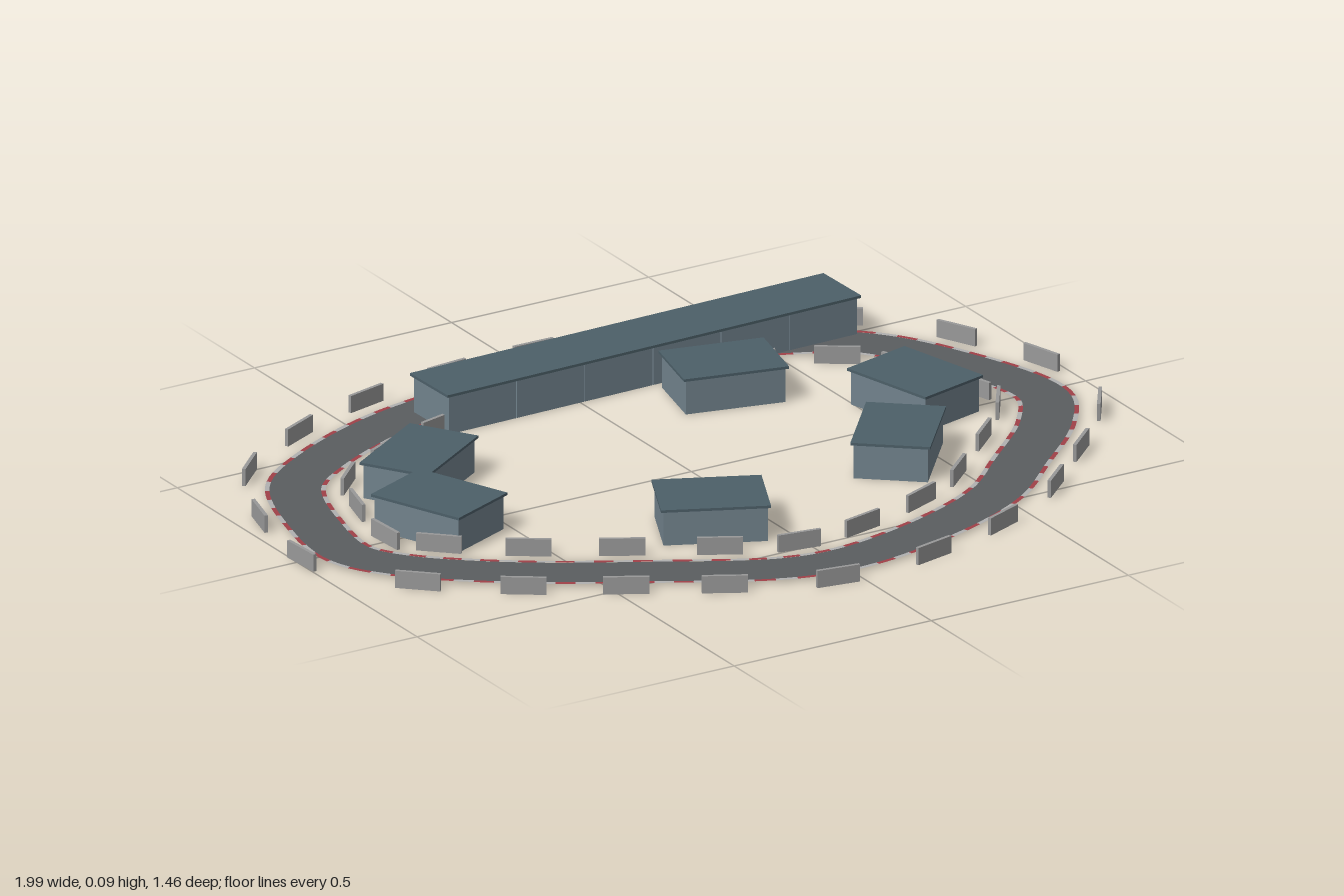
import * as THREE from 'three';
import { mergeGeometries } from 'three/addons/utils/BufferGeometryUtils.js';

const mat = (color, side = THREE.FrontSide) => new THREE.MeshStandardMaterial({ color, side });
const asphalt = mat(0x5a5d60, THREE.DoubleSide);
const kerbRed = mat(0xa04048, THREE.DoubleSide);
const kerbWhite = mat(0xb0b0b0, THREE.DoubleSide);
const wallMat = mat(0x71828c);
const roofMat = mat(0x4c5f68);
const barrierMat = mat(0x999999);

// Centre line of the circuit, as [x, z], clockwise seen from above
const loop = [
  [-0.885, 0.03], [-0.86, -0.16], [-0.785, -0.36], [-0.66, -0.46], [-0.43, -0.565], [-0.2, -0.61],
  [0.03, -0.62], [0.19, -0.61], [0.38, -0.57], [0.55, -0.51], [0.69, -0.43], [0.8, -0.25],
  [0.875, 0.02], [0.8, 0.165], [0.635, 0.33], [0.485, 0.465], [0.26, 0.565], [0.03, 0.612],
  [-0.12, 0.59], [-0.39, 0.45], [-0.64, 0.3], [-0.825, 0.14],
];
const toCurve = (pts, closed) =>
  new THREE.CatmullRomCurve3(pts.map(([x, z]) => new THREE.Vector3(x, 0, z)), closed, 'centripetal');
const circuit = toCurve(loop, true);
circuit.arcLengthDivisions = 1000;

// Point at a distance to the left of a curve
function offsetPoint(curve, u, d, y) {
  const p = curve.getPointAt(u), t = curve.getTangentAt(u);
  return new THREE.Vector3(p.x + t.z * d, y, p.z - t.x * d);
}

// Flat strip between two offsets of a curve
function ribbon(curve, u0, u1, left, right, y, steps) {
  const pos = [], nor = [], uv = [], idx = [];
  for (let i = 0; i <= steps; i++) {
    const u = u0 + (u1 - u0) * i / steps;
    for (const d of [left, right]) {
      pos.push(...offsetPoint(curve, u, d, y).toArray());
      nor.push(0, 1, 0);
      uv.push(d === left ? 0 : 1, u);
    }
    if (i < steps) {
      const a = i * 2;
      idx.push(a, a + 1, a + 2, a + 1, a + 3, a + 2);
    }
  }
  const g = new THREE.BufferGeometry();
  g.setAttribute('position', new THREE.Float32BufferAttribute(pos, 3));
  g.setAttribute('normal', new THREE.Float32BufferAttribute(nor, 3));
  g.setAttribute('uv', new THREE.Float32BufferAttribute(uv, 2));
  g.setIndex(idx);
  return g;
}

function add(parent, name, geometry, material, x = 0, y = 0, z = 0) {
  const m = new THREE.Mesh(geometry, material);
  m.name = name;
  m.position.set(x, y, z);
  parent.add(m);
  return m;
}

// Rectangular building of adjoining bays under a thin overhanging roof
function building(name, x, z, turn, width, depth, height, bays = 1) {
  const g = new THREE.Group();
  g.name = name;
  g.position.set(x, 0, z);
  g.rotation.y = turn;
  const roof = 0.006, inner = width - 0.012, bay = inner / bays;
  for (let i = 0; i < bays; i++) {
    const w = bays > 1 ? bay - 0.002 : bay;
    add(g, 'walls', new THREE.BoxGeometry(w, height - roof, depth - 0.012), wallMat,
      -inner / 2 + (i + 0.5) * bay, (height - roof) / 2, 0);
  }
  add(g, 'roof', new THREE.BoxGeometry(width, roof, depth), roofMat, 0, height - roof / 2, 0);
  return g;
}

export function createModel() {
  const model = new THREE.Group();
  model.name = 'raceCircuit';

  // Road surface and the short pit lane beside the straight
  add(model, 'track', ribbon(circuit, 0, 1, 0.06, -0.06, 0.004, 240), asphalt);
  const pit = toCurve([[-0.1, -0.625], [0.04, -0.645], [0.17, -0.66], [0.28, -0.655], [0.355, -0.61], [0.46, -0.55]], false);
  add(model, 'pitLane', ribbon(pit, 0, 1, 0.035, -0.035, 0.003, 32), asphalt);

  // Kerbs alternating red and white along both edges
  const kerbs = [[], []], count = 110;
  for (let i = 0; i < count; i++) {
    for (const [a, b] of [[0.066, 0.056], [-0.056, -0.066]]) {
      kerbs[i % 2].push(ribbon(circuit, i / count, (i + 1) / count, a, b, 0.006, 2));
    }
  }
  add(model, 'redKerbs', mergeGeometries(kerbs[0]), kerbRed);
  add(model, 'whiteKerbs', mergeGeometries(kerbs[1]), kerbWhite);

  // Chequered start line
  const line = new THREE.Group();
  line.name = 'startLine';
  for (let i = 0; i < 8; i++) {
    add(line, 'startLineSquare', new THREE.BoxGeometry(0.007, 0.002, 0.007), kerbWhite,
      0.04 + (i % 2 ? 0.0035 : -0.0035), 0.005, -0.67 + i * 0.014);
  }
  model.add(line);

  // Barriers standing off both sides of the road
  const barriers = new THREE.Group();
  barriers.name = 'barriers';
  const barrierGeo = new THREE.BoxGeometry(0.1, 0.04, 0.008);
  const pieces = 22;
  for (let i = 0; i < pieces; i++) {
    const u = (i + 0.1) / pieces, t = circuit.getTangentAt(u);
    for (const [name, d] of [['outerBarrier', 0.11], ['innerBarrier', -0.11]]) {
      const p = offsetPoint(circuit, u, d, 0.02);
      add(barriers, name, barrierGeo, barrierMat, p.x, p.y, p.z).rotation.y = Math.atan2(-t.z, t.x);
    }
  }
  model.add(barriers);

  // Pit building with garages, and the infield buildings
  model.add(building('pitBuilding', 0.185, -0.537, 0.0226, 1.064, 0.152, 0.095, 6));
  const infield = [
    [-0.545, -0.24, 0.576, 0.25, 0.165], [-0.64, 0, -1.169, 0.235, 0.18],
    [-0.134, 0.303, -0.43, 0.24, 0.178], [0.289, -0.34, -0.224, 0.24, 0.175],
    [0.604, -0.06, -1.32, 0.238, 0.178], [0.415, 0.18, 0.88, 0.238, 0.175],
  ];
  for (const [x, z, turn, w, d] of infield) model.add(building('infieldBuilding', x, z, turn, w, d, 0.085));

  return model;
}
